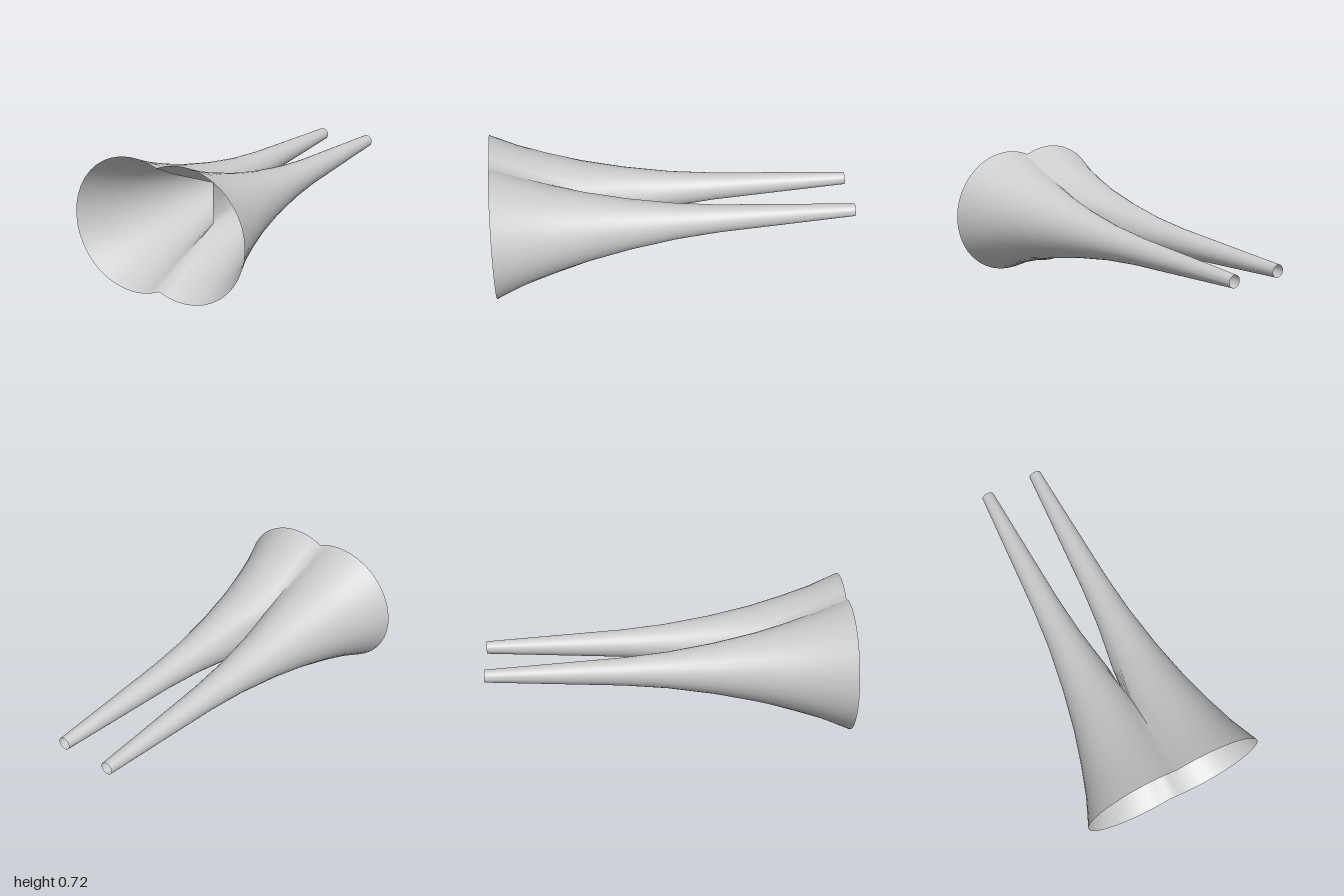
import * as THREE from 'three';
import { toCreasedNormals } from 'three/addons/utils/BufferGeometryUtils.js';

const AXIS_X = 0.152, AXIS_Y = 0.363;
// [z, radius] from the narrow back end to the flared mouth
const PROFILE = [[-1, 0.035], [-0.62, 0.056], [-0.24, 0.077], [0, 0.1], [0.26, 0.141],
  [0.49, 0.19], [0.68, 0.243], [0.84, 0.295], [1, 0.362]];
const JOIN = 5;               // ring where the two inner walls first meet
const OUTER = 26, INNER = 6;  // segments of the outer arc and of the inner wall

// Angle, measured from the outward side, at which a ring reaches the middle plane
const meetAngle = (r) => Math.PI - Math.acos(AXIS_X / r);

// One cross-section; anything past the middle plane is flattened onto it
function ring([z, r], i) {
  const phi = meetAngle(PROFILE[Math.max(i, JOIN)][1]);
  const count = i > JOIN ? OUTER : OUTER + INNER;
  const points = [];
  for (let j = 0; j <= count; j++) {
    const a = j <= OUTER
      ? -phi + (2 * phi * j) / OUTER
      : phi + ((2 * Math.PI - 2 * phi) * (j - OUTER)) / INNER;
    let x = Math.max(0, AXIS_X + r * Math.cos(a));
    if (i >= JOIN && (j === 0 || j >= OUTER)) x = 0;
    points.push([x, AXIS_Y + r * Math.sin(a), z]);
  }
  return points;
}

function hornGeometry() {
  const rings = PROFILE.map(ring);
  const positions = [];
  for (const side of [1, -1]) {
    const add = (...corners) => {
      if (side < 0) corners.reverse();
      for (const [x, y, z] of corners) positions.push(side * x, y, z);
    };
    for (let i = 0; i < rings.length - 1; i++) {
      // In front of the join the inner wall is left out, so both horns share one mouth
      const count = i >= JOIN ? OUTER : OUTER + INNER;
      for (let j = 0; j < count; j++) {
        const a = rings[i][j], b = rings[i][j + 1];
        const c = rings[i + 1][j + 1], d = rings[i + 1][j];
        add(a, b, c);
        add(a, c, d);
      }
    }
  }
  const geometry = new THREE.BufferGeometry();
  geometry.setAttribute('position', new THREE.Float32BufferAttribute(positions, 3));
  // Smooth near the mouth, sharp in the cleft between the tubes
  return toCreasedNormals(geometry, 1.3);
}

export function createModel() {
  const group = new THREE.Group();
  group.name = 'twinHorn';
  const material = new THREE.MeshStandardMaterial({ color: 0xcccccc, side: THREE.DoubleSide });
  const shell = new THREE.Mesh(hornGeometry(), material);
  shell.name = 'joinedHornShell';
  group.add(shell);
  return group;
}
